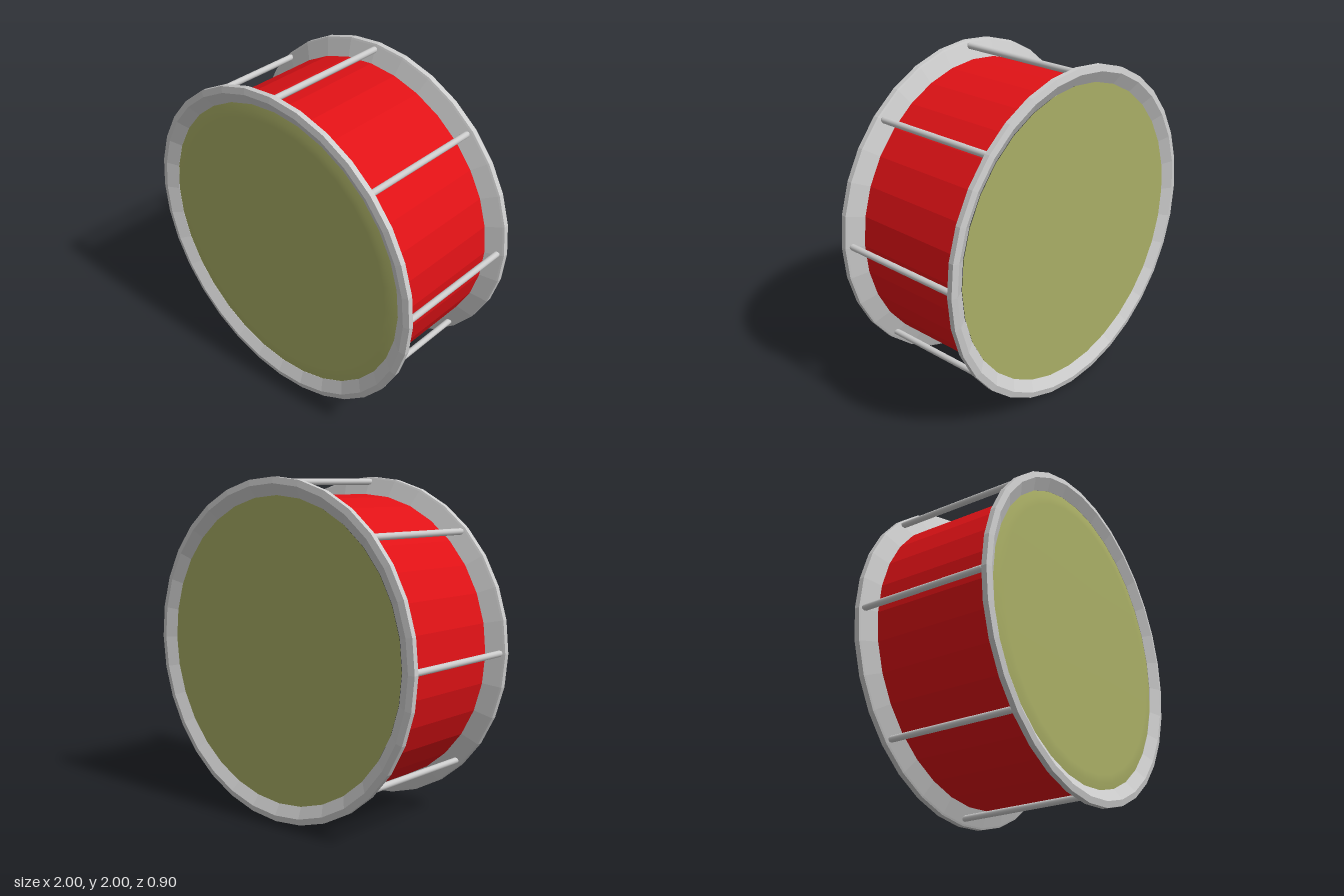
import * as THREE from 'three';

const SIDES = 32;

// Lathe profile given as [radius, distance along the drum axis]
function lathe(profile) {
  return new THREE.LatheGeometry(profile.map(([r, z]) => new THREE.Vector2(r, z)), SIDES);
}

function addMesh(parent, name, geometry, material) {
  const mesh = new THREE.Mesh(geometry, material);
  mesh.name = name;
  parent.add(mesh);
  return mesh;
}

export function createModel() {
  const model = new THREE.Group();
  model.name = 'drum';

  const metal = new THREE.MeshStandardMaterial({ color: 0xcccccc });
  const hoopMetal = new THREE.MeshStandardMaterial({ color: 0xcccccc, flatShading: true });
  const red = new THREE.MeshStandardMaterial({ color: 0xe01216, flatShading: true });
  const skin = new THREE.MeshStandardMaterial({ color: 0xa9ae65 });

  // Everything is built around the drum axis, which runs along z at y = 1
  const drum = new THREE.Group();
  drum.name = 'drumBody';
  drum.position.y = 1;
  model.add(drum);

  // Faceted shell
  const shell = addMesh(drum, 'shell', lathe([[0.895, -0.38], [0.895, 0.38]]), red);
  shell.rotation.x = Math.PI / 2;

  // Flared hoop and skin at each end
  const hoopGeometry = lathe([
    [0.895, 0.365], [0.99, 0.405], [1, 0.41], [1, 0.442],
    [0.963, 0.45], [0.895, 0.41], [0.895, 0.365],
  ]);
  const heads = {
    front: lathe([[0.897, 0.408], [0.855, 0.416], [0.81, 0.42], [0, 0.42]]),
    back: lathe([[0.897, 0.415], [0, 0.415]]),
  };
  for (const side of ['front', 'back']) {
    const end = new THREE.Group();
    end.name = side + 'End';
    end.rotation.x = side === 'front' ? Math.PI / 2 : -Math.PI / 2;
    addMesh(end, side + 'Hoop', hoopGeometry, hoopMetal);
    addMesh(end, side + 'Skin', heads[side], skin);
    drum.add(end);
  }

  // Eight tension rods joining the hoops
  const rodGeometry = new THREE.CapsuleGeometry(0.019, 0.785, 3, 12);
  rodGeometry.rotateX(Math.PI / 2);
  for (let i = 0; i < 8; i++) {
    const a = (i * Math.PI) / 4;
    const rod = addMesh(drum, 'tensionRod' + (i + 1), rodGeometry, metal);
    rod.position.set(0.965 * Math.cos(a) - 0.005, 0.965 * Math.sin(a) + 0.005, 0);
  }

  return model;
}
